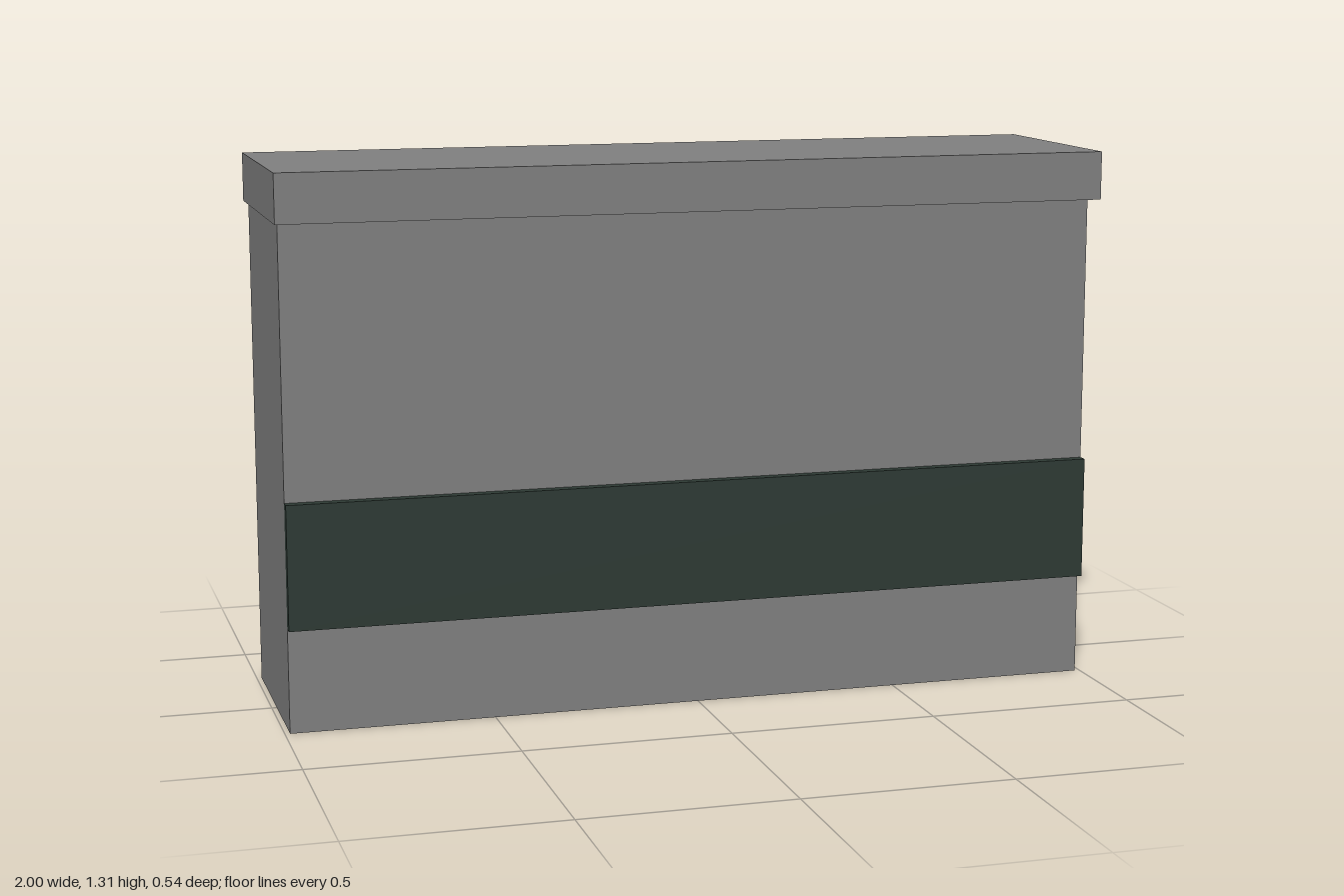
import * as THREE from 'three';

// Box given by its limits, keeping only the listed faces (0 +x, 1 -x, 2 +y, 3 -y, 4 +z, 5 -z)
function boxFaces(x, y0, y1, z0, z1, faces) {
  const g = new THREE.BoxGeometry(2 * x, y1 - y0, z1 - z0);
  g.translate(0, (y0 + y1) / 2, (z0 + z1) / 2);
  const index = Array.from(g.index.array);
  g.setIndex(faces.flatMap((f) => index.slice(f * 6, f * 6 + 6)));
  g.clearGroups();
  return g;
}

export function createModel() {
  const group = new THREE.Group();
  const grey = new THREE.MeshStandardMaterial({ color: 0x808080, side: THREE.DoubleSide });
  grey.name = 'grey';
  const green = new THREE.MeshStandardMaterial({ color: 0x2d3a34 });
  green.name = 'dark green';

  const add = (name, geometry, material) => {
    const mesh = new THREE.Mesh(geometry, material);
    mesh.name = name;
    group.add(mesh);
  };

  const bodyX = 0.988, capX = 1, back = -0.272, bodyFront = 0.222, capFront = 0.272;
  const capBottom = 1.192, capTop = 1.308;

  // Hollow wall, open underneath
  add('wallBody', boxFaces(bodyX, 0, capBottom, back, bodyFront, [0, 1, 4, 5]), grey);

  // Coping on top, overhanging the front and both ends
  add('coping', boxFaces(capX, capBottom, capTop, back, capFront, [0, 1, 2, 4, 5]), grey);

  // Underside of the overhang: a U around the wall (shape y becomes z, facing down)
  const ledge = new THREE.Shape([
    [-capX, back], [-bodyX, back], [-bodyX, bodyFront], [bodyX, bodyFront],
    [bodyX, back], [capX, back], [capX, capFront], [-capX, capFront],
  ].map(([x, y]) => new THREE.Vector2(x, y)));
  const ledgeGeometry = new THREE.ShapeGeometry(ledge);
  ledgeGeometry.rotateX(Math.PI / 2);
  ledgeGeometry.translate(0, capBottom, 0);
  add('copingUnderside', ledgeGeometry, grey);

  // Raised band across the front, its back just showing inside the wall
  add('frontBand', boxFaces(bodyX, 0.25, 0.547, bodyFront - 0.001, 0.247, [0, 1, 2, 3, 4, 5]), green);

  return group;
}
